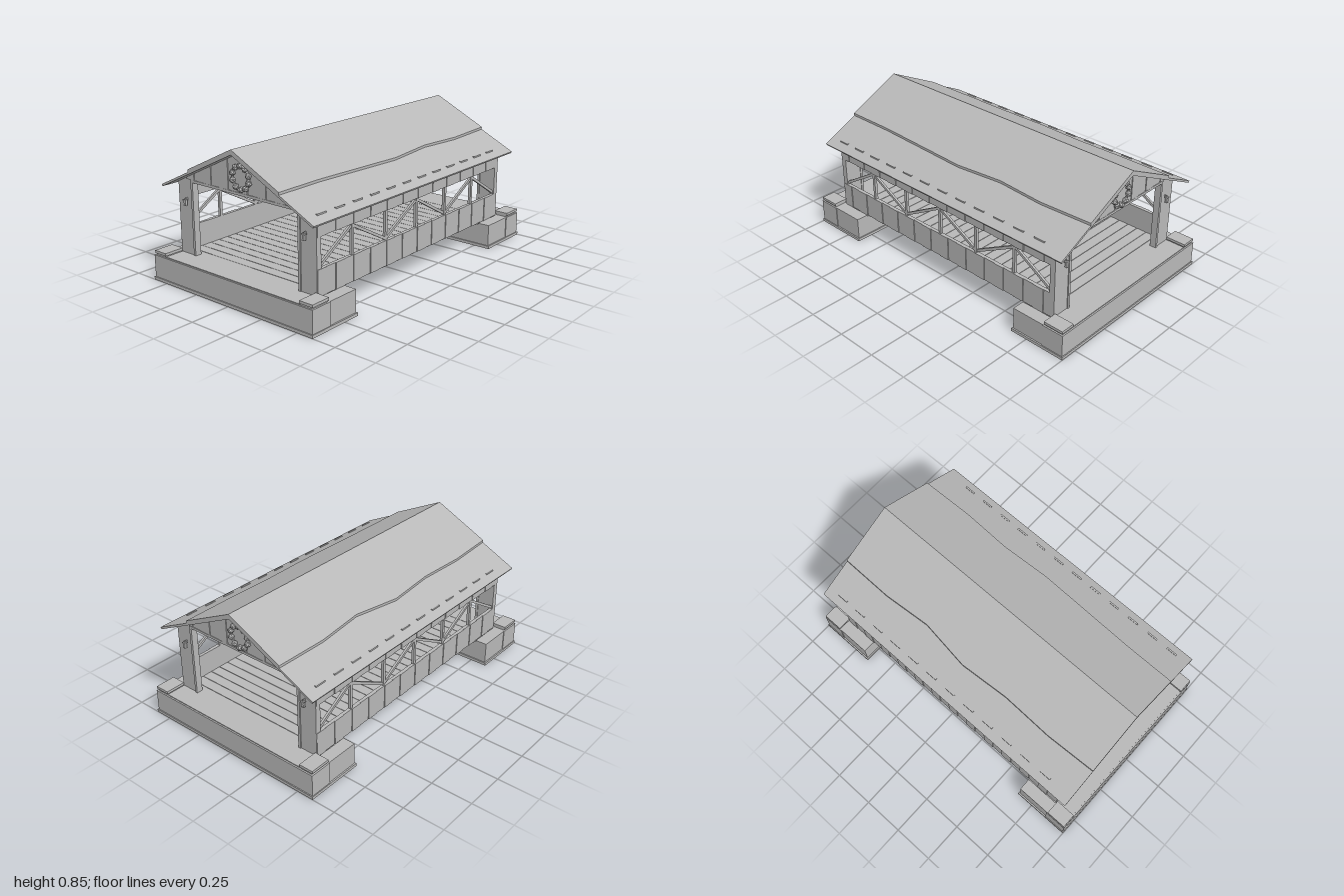
import * as THREE from 'three';

const timber = new THREE.MeshStandardMaterial({ color: 0xb8b8b8 });
timber.name = 'paleGrey';

const SLOPE = 0.487;
const HALF = 0.86; // half length of the walls

function add(parent, name, geometry, x = 0, y = 0, z = 0) {
  const mesh = new THREE.Mesh(geometry, timber);
  mesh.name = name;
  mesh.position.set(x, y, z);
  parent.add(mesh);
  return mesh;
}

// Box given by its lower and upper limits on each axis
function box(parent, name, x0, x1, y0, y1, z0, z1) {
  return add(parent, name, new THREE.BoxGeometry(x1 - x0, y1 - y0, z1 - z0),
    (x0 + x1) / 2, (y0 + y1) / 2, (z0 + z1) / 2);
}

function polygon(points) {
  return new THREE.Shape(points.map(([x, y]) => new THREE.Vector2(x, y)));
}

function extrude(shape, depth) {
  return new THREE.ExtrudeGeometry(shape, { depth, bevelEnabled: false });
}

// Stone abutment, portal, gable and ornaments of one end (built facing +z)
function createEnd(name) {
  const end = new THREE.Group();
  end.name = name;
  box(end, 'abutmentFooting', -0.605, 0.605, 0, 0.018, 0.643, 1);
  box(end, 'abutmentFront', -0.6, 0.6, 0.018, 0.15, 0.857, 0.994);
  box(end, 'abutmentRear', -0.596, 0.596, 0.018, 0.141, 0.65, 0.857);
  box(end, 'abutmentTop', -0.51, 0.51, 0.141, 0.155, 0.85, 0.985);
  for (const s of [-1, 1]) {
    const wing = box(end, 'wingTop', 0.52, 0.596, 0.14, 0.15, 0.65, 0.857);
    wing.position.x *= s;
    const cap = box(end, 'wingCap', 0.508, 0.598, 0.16, 0.176, 0.865, 0.99);
    cap.position.x *= s;
    const neck = box(end, 'capNeck', 0.515, 0.59, 0.15, 0.16, 0.87, 0.985);
    neck.position.x *= s;
  }

  // Portal with the gable above it
  const at = (x) => 0.826 - SLOPE * Math.abs(x);
  const portal = polygon([
    [-0.515, 0.15], [-0.4, 0.15], [-0.4, 0.59], [0.4, 0.59], [0.4, 0.15], [0.515, 0.15],
    [0.515, at(0.515)], [0.038, at(0.038)], [-0.038, at(0.038)], [-0.515, at(0.515)],
  ]);
  add(end, 'portal', extrude(portal, 0.03), 0, 0, 0.832);

  // Gable boards, every second one slightly proud
  const edges = [-0.44, -0.378, -0.308, -0.24, -0.174, -0.106, -0.038,
    0.038, 0.106, 0.174, 0.24, 0.308, 0.378, 0.44];
  for (let i = 0; i < edges.length - 1; i++) {
    const a = edges[i] + 0.001, b = edges[i + 1] - 0.001;
    const low = 0.6;
    const board = polygon([[a, low], [b, low], [b, Math.max(low + 0.002, at(b) - 0.001)],
      [a, Math.max(low + 0.002, at(a) - 0.001)]]);
    add(end, 'gableBoard', extrude(board, i % 2 ? 0.004 : 0.007), 0, 0, 0.86);
  }

  // Trim around the opening
  box(end, 'lintelTrim', -0.408, 0.408, 0.585, 0.6, 0.828, 0.868);
  box(end, 'leftJamb', 0.392, 0.408, 0.155, 0.585, 0.828, 0.868);
  box(end, 'rightJamb', -0.408, -0.392, 0.155, 0.585, 0.828, 0.868);

  // Wreath
  const wreath = new THREE.Group();
  wreath.name = 'wreath';
  wreath.position.set(0, 0.687, 0.875);
  end.add(wreath);
  const ring = add(wreath, 'wreathRing', new THREE.TorusGeometry(0.062, 0.007, 6, 20));
  ring.scale.y = 1.04;
  for (let i = 0; i < 10; i++) {
    const a = (i / 10) * Math.PI * 2 + Math.PI / 2;
    const tuft = add(wreath, 'wreathTuft', new THREE.IcosahedronGeometry(0.019, 0),
      Math.cos(a) * 0.063, Math.sin(a) * 0.065, 0.002);
    tuft.rotation.z = a;
  }

  // Lanterns
  for (const s of [-1, 1]) {
    const lantern = new THREE.Group();
    lantern.name = 'lantern';
    lantern.position.set(s * 0.445, 0.467, 0.879);
    end.add(lantern);
    box(lantern, 'lanternBody', -0.007, 0.007, -0.018, 0.012, -0.007, 0.007);
    box(lantern, 'lanternRoof', -0.011, 0.011, 0.01, 0.016, -0.01, 0.01);
    box(lantern, 'lanternBase', -0.008, 0.008, -0.021, -0.016, -0.008, 0.008);
    box(lantern, 'lanternBracket', -0.003, 0.003, 0.015, 0.023, -0.018, 0.003);
  }
  return end;
}

// Boarded side wall with an open truss (built on +x)
function createWall(name) {
  const wall = new THREE.Group();
  wall.name = name;
  box(wall, 'lowerPanel', 0.495, 0.512, 0.15, 0.297, -HALF, HALF);
  box(wall, 'upperPanel', 0.495, 0.512, 0.47, 0.578, -HALF, HALF);

  const count = 24, step = (2 * HALF) / count;
  for (let i = 0; i < count; i++) {
    const z = -HALF + i * step;
    const proud = i % 2 === 1;
    const x1 = proud ? 0.518 : 0.515;
    box(wall, 'lowerBoard', 0.508, x1, 0.148, 0.297, z + 0.001, z + step - 0.001);
    box(wall, 'upperBoard', 0.508, x1, 0.47, proud ? 0.594 : 0.574, z + 0.001, z + step - 0.001);
  }

  // Truss posts and zigzag braces
  for (const z of [-0.57, -0.285, 0, 0.285, 0.57]) {
    box(wall, 'trussPost', 0.493, 0.51, 0.29, 0.48, z - 0.009, z + 0.009);
  }
  for (const s of [-1, 1]) {
    const post = box(wall, 'endPost', 0.49, 0.515, 0.15, 0.57, 0.828, HALF);
    post.position.z *= s;
    const zig = [[0.835, 0.305], [0.575, 0.462], [0.285, 0.305], [0, 0.462]];
    for (let i = 0; i < 3; i++) {
      const dz = s * (zig[i + 1][0] - zig[i][0]);
      const dy = zig[i + 1][1] - zig[i][1];
      const brace = add(wall, 'trussBrace',
        new THREE.BoxGeometry(0.014, 0.016, Math.hypot(dz, dy)),
        0.501, (zig[i][1] + zig[i + 1][1]) / 2, s * (zig[i][0] + zig[i + 1][0]) / 2);
      brace.rotation.x = -Math.atan2(dy, dz);
    }
  }
  return wall;
}

// Upper roof layer: plan outline extruded upwards, then sheared to the pitch
function createUpperLayer(side, widths) {
  const pts = [[0, -0.94], [0, 0.94]];
  const zs = [0.94, 0.63, 0.31, 0, -0.31, -0.61, -0.94];
  zs.forEach((z, i) => pts.push([side * widths[i], z]));
  const geo = extrude(polygon(pts.map(([x, z]) => [x, -z])), 0.016);
  geo.rotateX(-Math.PI / 2);
  const p = geo.attributes.position;
  for (let i = 0; i < p.count; i++) {
    p.setY(i, p.getY(i) + 0.837 - SLOPE * Math.abs(p.getX(i)));
  }
  geo.computeVertexNormals();
  return geo;
}

export function createModel() {
  const model = new THREE.Group();
  model.name = 'coveredBridge';

  const front = createEnd('frontEnd');
  const back = createEnd('backEnd');
  back.rotation.y = Math.PI;
  const left = createWall('leftWall');
  const right = createWall('rightWall');
  right.rotation.y = Math.PI;
  model.add(front, back, left, right);

  // Deck planks on three long beams
  const deck = new THREE.Group();
  deck.name = 'deck';
  model.add(deck);
  const planks = 26, width = (2 * HALF) / planks;
  for (let i = 0; i < planks; i++) {
    const z = -HALF + i * width;
    box(deck, 'plank', -0.505, 0.505, 0.141, 0.155, z + 0.0015, z + width - 0.0015);
  }
  for (const x of [-0.36, 0, 0.36]) {
    box(deck, 'beam', x - 0.025, x + 0.025, 0.1, 0.142, -0.7, 0.7);
  }

  // Roof slabs meeting at the ridge
  const y = (x) => 0.838 - SLOPE * Math.abs(x);
  const roof = polygon([[0, y(0)], [-0.567, y(0.567)], [-0.561, y(0.561) - 0.014],
    [0, y(0) - 0.014], [0.561, y(0.561) - 0.014], [0.567, y(0.567)]]);
  add(model, 'roof', extrude(roof, 1.88), 0, 0, -0.94);
  add(model, 'leftUpperRoof', createUpperLayer(1, [0.336, 0.336, 0.346, 0.356, 0.336, 0.35, 0.34]));
  add(model, 'rightUpperRoof', createUpperLayer(-1, [0.342, 0.355, 0.346, 0.366, 0.328, 0.35, 0.346]));

  return model;
}
